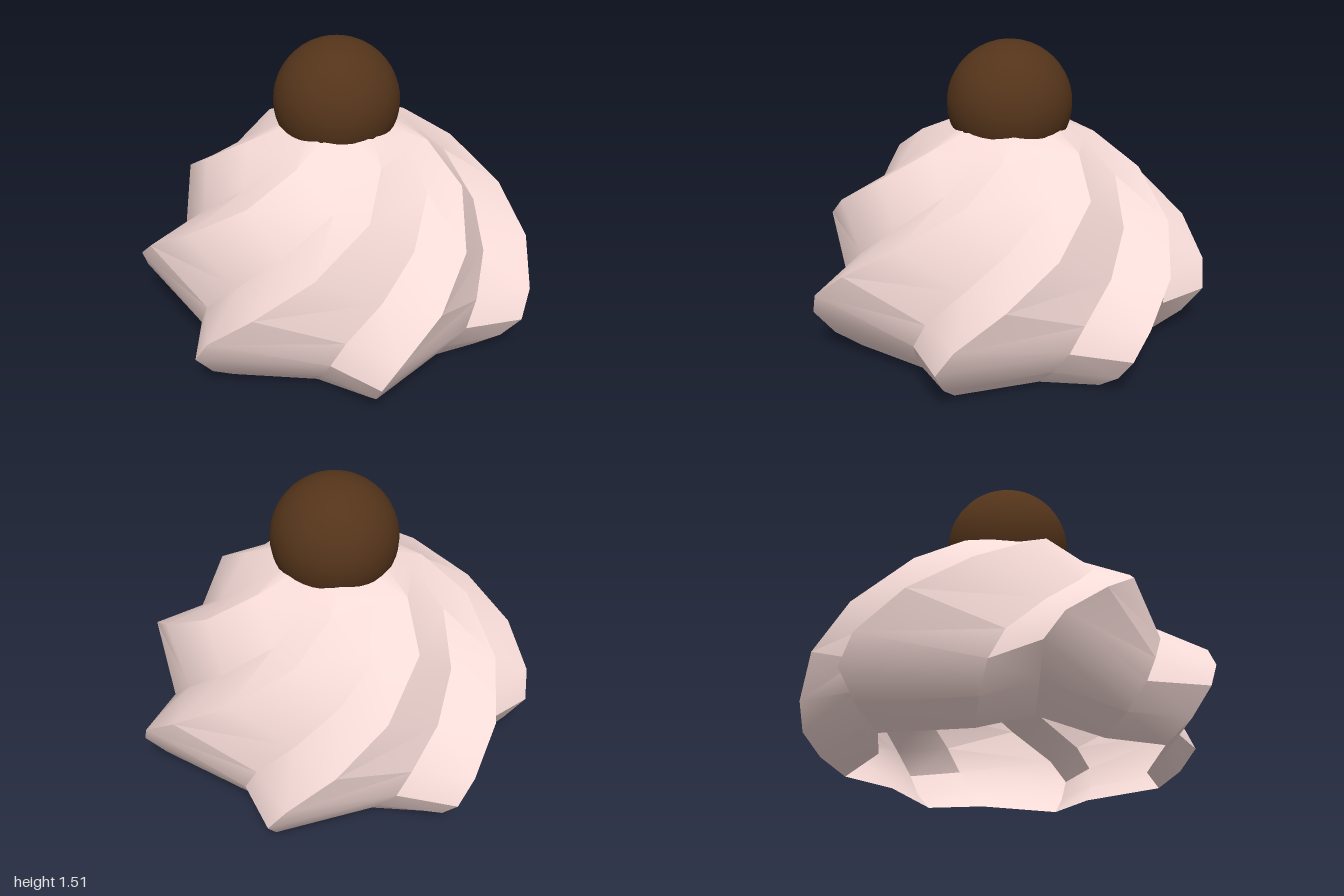
import * as THREE from 'three';
import { toCreasedNormals } from 'three/addons/utils/BufferGeometryUtils.js';

const LOBES = 7;

// Each ring: height, ridge radius, twist, groove offset (degrees), groove radius ratio
const RINGS = [
  [0.00, 0.79, 0, 20, 0.82],
  [0.10, 0.92, 0, 17, 0.81],
  [0.23, 1.02, 0, 13.5, 0.81],
  [0.36, 1.025, 5, 13.5, 0.81],
  [0.53, 0.965, 17.5, 13.5, 0.81],
  [0.70, 0.84, 33.5, 14, 0.82],
  [0.88, 0.66, 53, 14.5, 0.84],
  [1.03, 0.447, 67, 16, 0.86],
  [1.105, 0.292, 76, 18, 0.88],
];

// Twisted star of ridges and grooves, open underneath
function swirlGeometry() {
  const positions = [], index = [], n = LOBES * 2;
  for (const [y, radius, twist, offset, ratio] of RINGS) {
    for (let k = 0; k < n; k++) {
      const groove = k % 2 === 1;
      const degrees = Math.floor(k / 2) * 360 / LOBES - twist + (groove ? offset : 0);
      const angle = THREE.MathUtils.degToRad(degrees);
      const r = groove ? radius * ratio : radius;
      positions.push(r * Math.cos(angle), y, r * Math.sin(angle));
    }
  }
  for (let i = 0; i < RINGS.length - 1; i++) {
    for (let k = 0; k < n; k++) {
      const next = (k + 1) % n;
      const a = i * n + k, b = i * n + next, c = b + n, d = a + n;
      index.push(a, d, c, a, c, b);
    }
  }
  const geometry = new THREE.BufferGeometry();
  geometry.setAttribute('position', new THREE.Float32BufferAttribute(positions, 3));
  geometry.setIndex(index);
  return toCreasedNormals(geometry, THREE.MathUtils.degToRad(32));
}

export function createModel() {
  const group = new THREE.Group();
  group.name = 'creamSwirl';

  // Cream
  const cream = new THREE.Mesh(
    swirlGeometry(),
    new THREE.MeshStandardMaterial({ color: 0xf5dad6, side: THREE.DoubleSide }),
  );
  cream.name = 'cream';
  cream.position.x = -0.05;
  group.add(cream);

  // Ball on top
  const ball = new THREE.Mesh(
    new THREE.SphereGeometry(0.31, 40, 24),
    new THREE.MeshStandardMaterial({ color: 0x54341a }),
  );
  ball.name = 'toppingBall';
  ball.position.set(-0.06, 1.2, -0.01);
  group.add(ball);

  return group;
}
